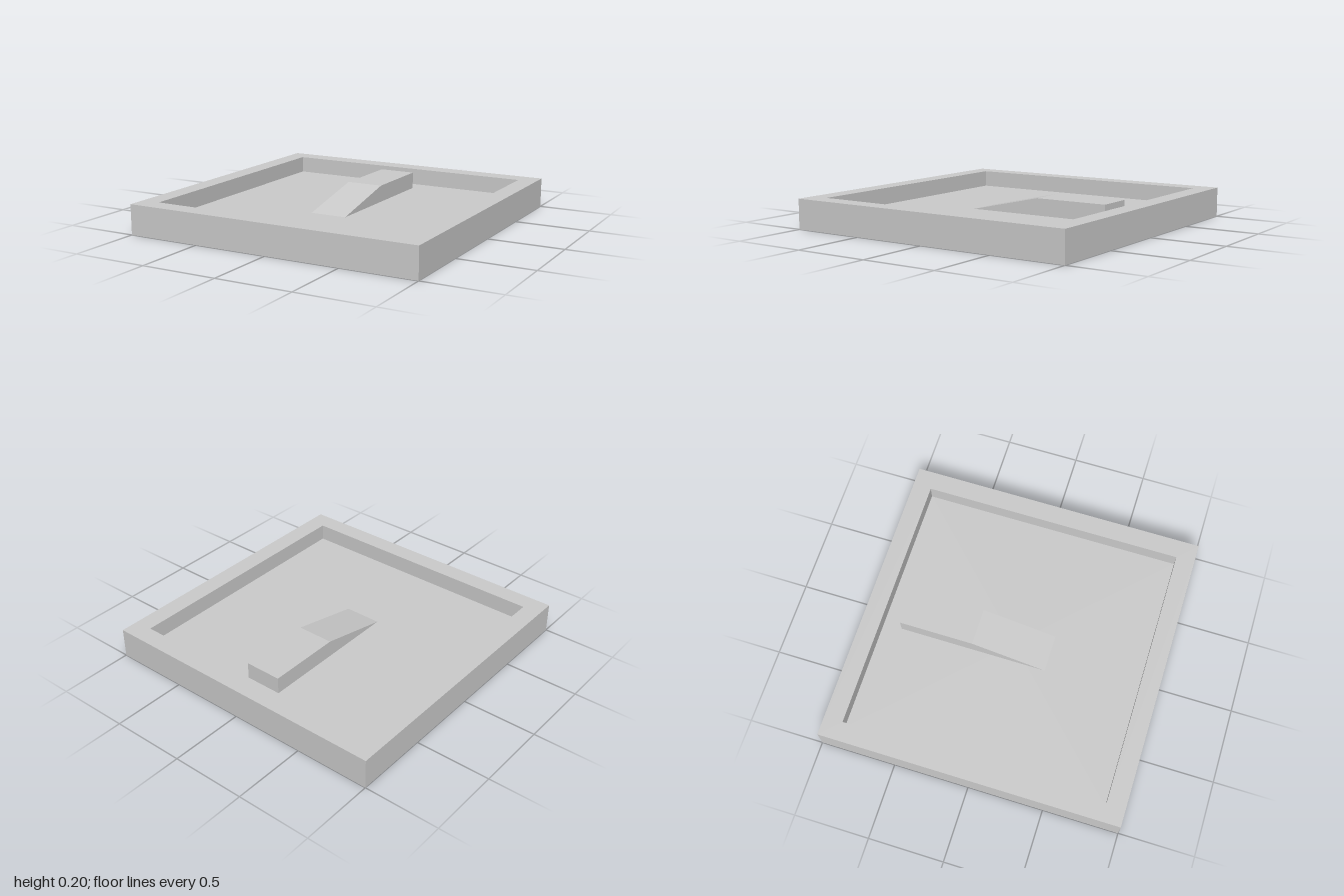
import * as THREE from 'three';

export function createModel() {
  const group = new THREE.Group();
  const material = new THREE.MeshStandardMaterial({ color: 0xcccccc, flatShading: true });
  const height = 0.2, floorY = 0.0875, inner = 0.875;

  // Square tray: a four-sided lathe of the base, rim and recessed floor
  const profile = [
    [0, 0], [1, 0], [1, height], [inner, height], [inner, floorY], [0, floorY],
  ].map(([r, y]) => new THREE.Vector2(r * Math.SQRT2, y));
  const tray = new THREE.Mesh(new THREE.LatheGeometry(profile, 4, Math.PI / 4), material);
  tray.name = 'tray';
  group.add(tray);

  // Ramp: side outline in z and y, flush with the rim, sloping down to the floor in front
  const width = 0.25;
  const outline = new THREE.Shape([
    [-0.75, floorY], [0.25, floorY], [-0.25, height], [-0.75, height],
  ].map(([z, y]) => new THREE.Vector2(z, y)));
  const rampGeometry = new THREE.ExtrudeGeometry(outline, { depth: width, bevelEnabled: false });
  rampGeometry.rotateY(-Math.PI / 2).translate(width / 2, 0, 0);
  const ramp = new THREE.Mesh(rampGeometry, material);
  ramp.name = 'ramp';
  group.add(ramp);

  return group;
}
